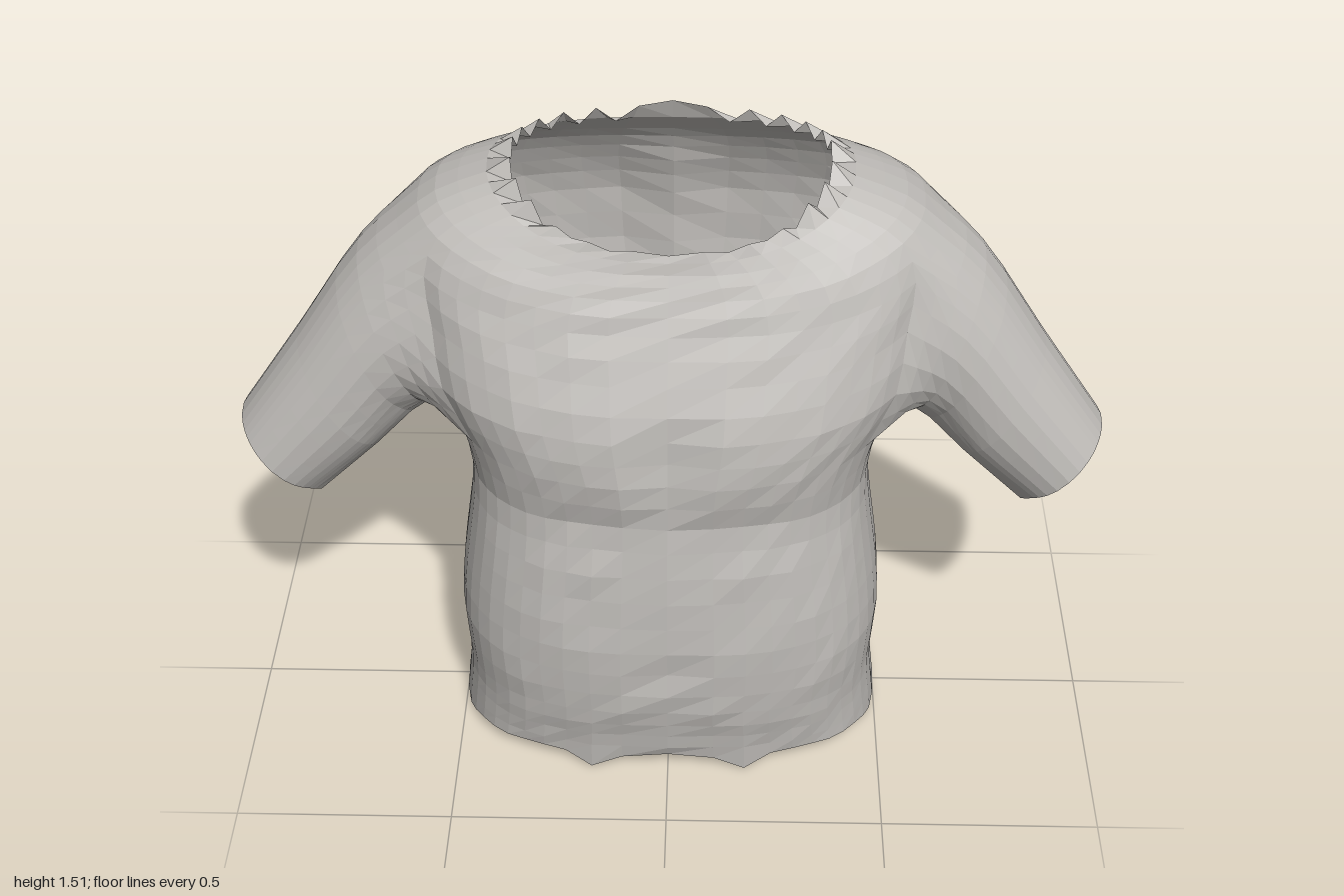
import * as THREE from 'three';

const COLS = 48, SUB = 2;      // columns round the body, rows between key sections
const ARM0 = 8, ARM1 = 16;     // columns of the armhole on the +x side
const ROW0 = 7 * SUB, ROW1 = 11 * SUB;

// Body sections: front y, side y, back y, half width, front z, back z
const SECTIONS = [
  [0.055, 0.04, 0.075, 0.50, 0.33, -0.375],
  [0.13, 0.12, 0.15, 0.49, 0.345, -0.36],
  [0.22, 0.20, 0.22, 0.485, 0.365, -0.335],
  [0.34, 0.34, 0.32, 0.495, 0.375, -0.305],
  [0.48, 0.48, 0.48, 0.485, 0.37, -0.32],
  [0.62, 0.62, 0.62, 0.465, 0.36, -0.335],
  [0.75, 0.75, 0.76, 0.455, 0.355, -0.35],
  [0.87, 0.89, 0.92, 0.485, 0.36, -0.37],
  [0.98, 1.03, 1.06, 0.55, 0.35, -0.378],
  [1.10, 1.18, 1.20, 0.57, 0.305, -0.368],
  [1.20, 1.29, 1.30, 0.585, 0.26, -0.335],
  [1.27, 1.38, 1.38, 0.55, 0.23, -0.29],
  [1.32, 1.43, 1.44, 0.46, 0.205, -0.24],
  [1.365, 1.47, 1.485, 0.345, 0.19, -0.20],
];

// Sleeve sections on the +x side: top x, top y, bottom x, bottom y, front z, back z
const SLEEVE = [
  [0.69, 1.25, 0.54, 0.86, 0.155, -0.23],
  [0.84, 1.03, 0.66, 0.75, 0.15, -0.195],
  [0.985, 0.82, 0.80, 0.635, 0.14, -0.16],
];

const bump = (x, centre, width) => Math.exp(-(((x - centre) / width) ** 2));

// Repeatable value from -1 to 1
const noise = (i, j) => {
  const n = Math.sin(i * 12.99 + j * 78.23) * 43758.55;
  return 2 * (n - Math.floor(n)) - 1;
};

// Smooth interpolation between the body sections
function sectionAt(row) {
  const i = Math.min(Math.floor(row / SUB), SECTIONS.length - 2);
  const t = row / SUB - i;
  const at = (k) => SECTIONS[THREE.MathUtils.clamp(k, 0, SECTIONS.length - 1)];
  return SECTIONS[i].map((b, n) => {
    const a = at(i - 1)[n], c = at(i + 1)[n], d = at(i + 2)[n];
    return b + 0.5 * t * (c - a + t * (2 * a - 5 * b + 4 * c - d + t * (3 * (b - c) + d - a)));
  });
}

function bodyPoint(row, col) {
  const [yF, yS, yB, w, zF, zB] = sectionAt(row);
  const angle = (col / COLS) * Math.PI * 2;
  const s = Math.sin(angle), c = Math.cos(angle);
  const x = w * Math.sign(s) * Math.abs(s) ** 0.75;
  const zc = -0.05 * THREE.MathUtils.smoothstep(yS, 0.6, 1.3);
  const front = c > 0;
  let y = THREE.MathUtils.lerp(yS, front ? yF : yB, c * c);
  let z = zc + ((front ? zF : zB) - zc) * Math.abs(c) ** 0.75;
  const ax = Math.abs(x), last = (SECTIONS.length - 1) * SUB;
  const fade = 1 - THREE.MathUtils.smoothstep(y, 1.25, 1.42);

  // Breastbone and navel hollows, fold under the chest, spine and seat grooves
  if (front) {
    z -= 0.02 * bump(y, 0.92, 0.1) * bump(x, 0, 0.05) + 0.012 * bump(y, 0.36, 0.05) * bump(x, 0, 0.05);
    z -= 0.018 * bump(y, 0.73, 0.06) * bump(ax, 0.2, 0.18);
  } else {
    z += (0.025 * fade + 0.015 * bump(y, 0.08, 0.12)) * bump(x, 0, 0.06);
  }
  // Slight cloth wrinkles
  z += 0.004 * noise(row, Math.min(col, COLS - col)) * Math.abs(c) * fade;

  // Ragged hem and neckline
  if (row === 0) {
    if (front) y -= 0.045 * bump(ax, 0.17, 0.05);
    y -= 0.02 * bump(c, 0.25, 0.15) + 0.01 * bump(c, -0.3, 0.1);
  }
  if (row === last) {
    const rag = c > 0.75 ? 0.004 : 0.018;
    y += rag * (col % 2 ? 1 : -1) + (col === COLS / 2 ? 0.05 : 0);
  }
  return new THREE.Vector3(x, y, z);
}

// Faceted surface from quads, each given as four corners
function facetMesh(name, quads, material) {
  const points = [];
  for (const [a, b, c, d] of quads) points.push(a, b, c, a, c, d);
  const geometry = new THREE.BufferGeometry().setFromPoints(points);
  geometry.computeVertexNormals();
  const mesh = new THREE.Mesh(geometry, material);
  mesh.name = name;
  return mesh;
}

// Body shell, leaving out the quads inside both armholes
function makeBody(material) {
  const quads = [];
  for (let r = 0; r < (SECTIONS.length - 1) * SUB; r++) {
    for (let c = 0; c < COLS; c++) {
      const side = Math.min(c, COLS - 1 - c);
      if (r >= ROW0 && r < ROW1 && side >= ARM0 && side < ARM1) continue;
      const n = (c + 1) % COLS;
      quads.push([bodyPoint(r, c), bodyPoint(r, n), bodyPoint(r + 1, n), bodyPoint(r + 1, c)]);
    }
  }
  return facetMesh('body', quads, material);
}

// Sleeve lofted from the armhole edge out to the cuff
function makeSleeve(name, mirror, material) {
  const edge = [];
  for (let c = ARM0; c < ARM1; c++) edge.push(bodyPoint(ROW0, c));
  for (let r = ROW0; r < ROW1; r++) edge.push(bodyPoint(r, ARM1));
  for (let c = ARM1; c > ARM0; c--) edge.push(bodyPoint(ROW1, c));
  for (let r = ROW1; r > ROW0; r--) edge.push(bodyPoint(r, ARM0));

  const steps = 9;
  const strands = edge.map((p) => {
    const t = Math.atan2((p.z + 0.04) / 0.2, (p.y - 1.13) / 0.24);
    const u = Math.cos(t) / 2, v = Math.sin(t) / 2;
    const path = [p, ...SLEEVE.map(([tx, ty, bx, by, zf, zb]) => new THREE.Vector3(
      (tx + bx) / 2 + u * (tx - bx), (ty + by) / 2 + u * (ty - by), (zf + zb) / 2 + v * (zf - zb)))];
    // Uneven lower cuff
    path[3].y -= 0.02 * bump(u, -0.5, 0.1);
    const points = new THREE.CatmullRomCurve3(path).getPoints(steps);
    if (mirror) points.forEach((q) => { q.x = -q.x; });
    return points;
  });

  const quads = [];
  strands.forEach((a, i) => {
    const b = strands[(i + 1) % strands.length];
    for (let k = 0; k < steps; k++) {
      const quad = [a[k], b[k], b[k + 1], a[k + 1]];
      quads.push(mirror ? quad.reverse() : quad);
    }
  });
  return facetMesh(name, quads, material);
}

export function createModel() {
  const cloth = new THREE.MeshStandardMaterial({ color: 0xbfbcb8, side: THREE.DoubleSide });
  cloth.name = 'greyCloth';
  const shirt = new THREE.Group();
  shirt.name = 'shirt';
  shirt.add(
    makeBody(cloth),
    makeSleeve('leftSleeve', false, cloth),
    makeSleeve('rightSleeve', true, cloth),
  );
  return shirt;
}
